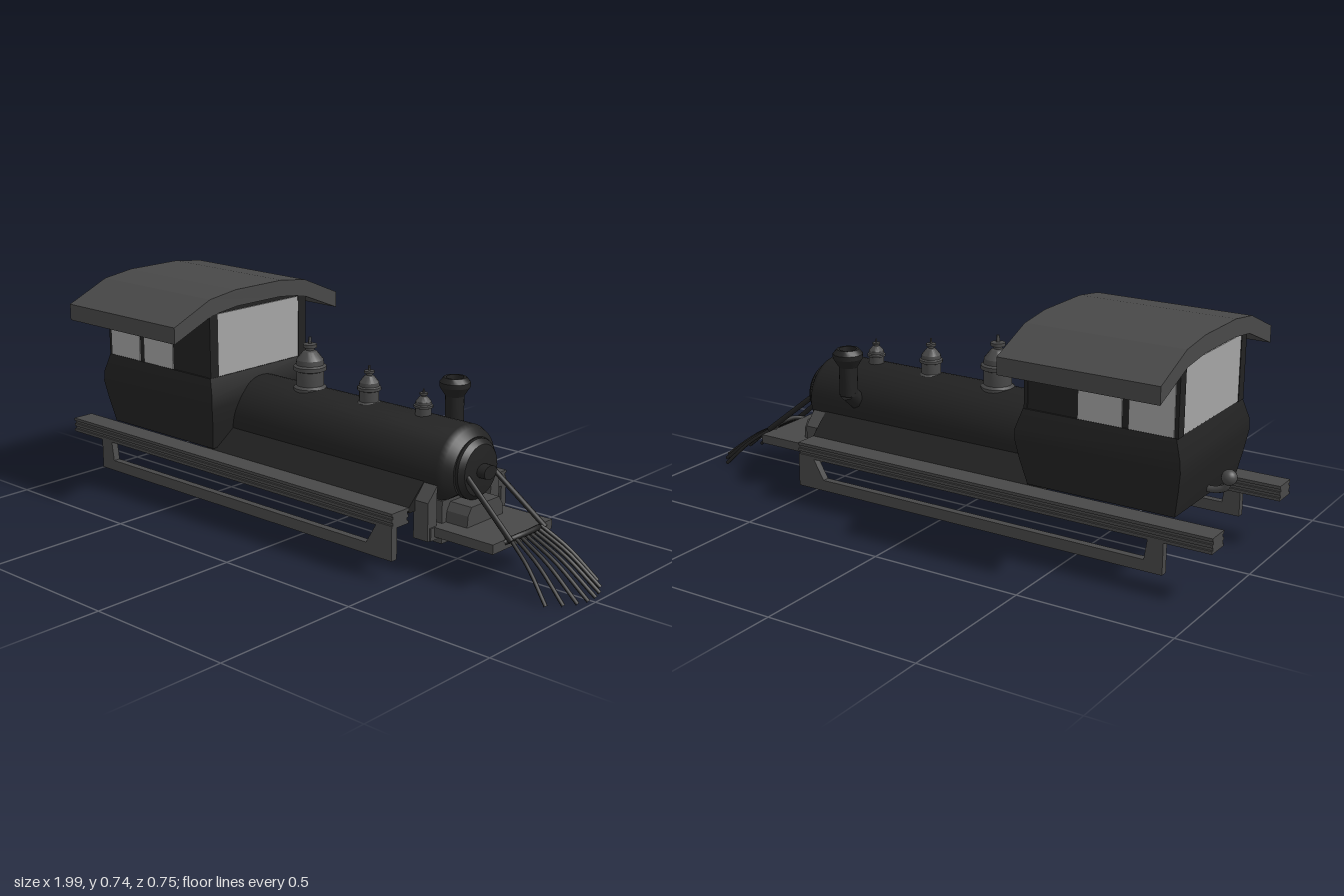
import * as THREE from 'three';
import { toCreasedNormals } from 'three/addons/utils/BufferGeometryUtils.js';

const mat = (name, color) => {
  const m = new THREE.MeshStandardMaterial({ color });
  m.name = name;
  return m;
};
const V = (x, y, z) => new THREE.Vector3(x, y, z);

export function createModel() {
  const black = mat('black iron', 0x222222);
  const grey = mat('grey steel', 0x484848);
  const glass = mat('window glass', 0xa4a4a4);
  const root = new THREE.Group();
  root.name = 'locomotive';

  const add = (name, geo, material, x = 0, y = 0, z = 0) => {
    const m = new THREE.Mesh(geo, material);
    m.name = name;
    m.position.set(x, y, z);
    root.add(m);
    return m;
  };
  // box from its limits
  const box = (name, material, x0, x1, y0, y1, z0, z1) =>
    add(name, new THREE.BoxGeometry(x1 - x0, y1 - y0, z1 - z0), material, (x0 + x1) / 2, (y0 + y1) / 2, (z0 + z1) / 2);
  // (z, y) outline swept along x
  const sweepX = (name, material, pts, x0, x1) => {
    const s = new THREE.Shape(pts.map(([z, y]) => new THREE.Vector2(-z, y)));
    const g = new THREE.ExtrudeGeometry(s, { depth: x1 - x0, bevelEnabled: false });
    return add(name, g.rotateY(Math.PI / 2), material, x0);
  };
  // closed skin through convex rings, capped at both ends
  const loft = (rings, crease) => {
    const n = rings[0].length, idx = [];
    for (let i = 0; i < rings.length - 1; i++)
      for (let j = 0; j < n; j++) {
        const k = (j + 1) % n, a = i * n, b = a + n;
        idx.push(a + j, a + k, b + k, a + j, b + k, b + j);
      }
    const e = (rings.length - 1) * n;
    for (let j = 1; j < n - 1; j++) idx.push(0, j + 1, j, e, e + j, e + j + 1);
    const g = new THREE.BufferGeometry().setFromPoints(rings.flat());
    g.setIndex(idx);
    return toCreasedNormals(g, crease);
  };
  const lathe = (pts, seg = 20) =>
    toCreasedNormals(new THREE.LatheGeometry(pts.map(([r, y]) => new THREE.Vector2(r, y)), seg), 0.5);
  const tube = (name, material, pts, r, seg = 8, sides = 8) =>
    add(name, new THREE.TubeGeometry(new THREE.CatmullRomCurve3(pts), seg, r, sides), material);
  const bar = (name, material, a, b, r) => {
    const d = b.clone().sub(a), mid = a.clone().add(b).multiplyScalar(0.5);
    const m = add(name, new THREE.CylinderGeometry(r, r, d.length(), 8), material, mid.x, mid.y, mid.z);
    m.quaternion.setFromUnitVectors(V(0, 1, 0), d.normalize());
  };

  // boiler with flat underside and tapered nose
  const section = (x, s) => Array.from({ length: 33 }, (_, i) => {
    const t = THREE.MathUtils.degToRad(-130 + (260 * i) / 32);
    return V(x, 0.31 + 0.13 * s * Math.cos(t), 0.136 * s * Math.sin(t));
  });
  add('boiler', loft([section(-0.4, 1), section(0.515, 1), section(0.535, 0.93), section(0.555, 0.75)], 0.5), black);
  sweepX('boilerSkirt', black, [[0.2, 0.2], [0.205, 0.215], [0.125, 0.29], [-0.125, 0.29], [-0.205, 0.215], [-0.2, 0.2]], -0.4, 0.47);

  // smokebox door and hub
  const door = add('smokeboxDoor', lathe([[0, 0], [0.095, 0], [0.095, 0.02], [0.08, 0.035], [0.03, 0.042], [0, 0.042]], 28), black, 0.545, 0.31, 0);
  door.rotation.z = -Math.PI / 2;
  const hub = add('doorHub', new THREE.CylinderGeometry(0.022, 0.022, 0.04, 20), black, 0.595, 0.31, 0);
  hub.rotation.z = -Math.PI / 2;
  hub.scale.z = 1.4;

  // cab: bulged lower body and upright upper walls
  const rect = (y, x0, x1, z) => [V(x0, y, z), V(x1, y, z), V(x1, y, -z), V(x0, y, -z)];
  add('cabBody', loft([
    rect(0.225, -0.85, -0.36, 0.212), rect(0.31, -0.866, -0.34, 0.229), rect(0.37, -0.875, -0.33, 0.24),
    rect(0.405, -0.872, -0.33, 0.239), rect(0.467, -0.852, -0.35, 0.226),
  ], 0.5), black);
  box('cabUpperWalls', black, -0.85, -0.357, 0.46, 0.69, -0.22, 0.22);
  for (const s of [-1, 1]) {
    for (const x of [-0.843, -0.677])
      box('sideWindow', glass, x, x + 0.144, 0.467, 0.655, s * 0.22 - 0.004, s * 0.22 + 0.004);
    for (const x of [-0.85, -0.357])
      box('cornerPost', black, x - 0.006, x + 0.006, 0.465, 0.68, s * 0.205 - 0.018, s * 0.205 + 0.018);
  }
  for (const x of [-0.85, -0.357]) box('endWindow', glass, x - 0.004, x + 0.004, 0.467, 0.675, -0.19, 0.19);

  // arched overhanging roof
  const top = [[0.375, 0.662], [0.22, 0.728], [0.105, 0.743]];
  const under = [[0.1, 0.688], [0.21, 0.675], [0.375, 0.608]];
  const flip = (a) => a.map(([z, y]) => [-z, y]).reverse();
  sweepX('roof', grey, [...top, ...flip(top), ...flip(under), ...under], -0.87, -0.35);

  // domes along the boiler
  for (const [x, r, y, h] of [[-0.12, 0.05, 0.425, 0.18], [0.135, 0.035, 0.425, 0.13], [0.355, 0.028, 0.425, 0.095]])
    add('dome', lathe([
      [0, 0], [r * 1.08, 0], [r * 1.08, h * 0.08], [r * 0.9, h * 0.12], [r * 0.9, h * 0.38], [r * 1.08, h * 0.4],
      [r * 1.08, h * 0.47], [r * 0.92, h * 0.5], [r * 0.88, h * 0.59], [r * 0.45, h * 0.74], [r * 0.28, h * 0.76],
      [r * 0.28, h * 0.8], [r * 0.46, h * 0.81], [r * 0.46, h * 0.87], [r * 0.12, h * 0.88], [r * 0.1, h], [0, h],
    ]), grey, x, y, 0);

  // side chimney with elbow
  bar('chimneyElbow', black, V(0.35, 0.33, -0.105), V(0.35, 0.38, -0.165), 0.03);
  add('chimney', lathe([
    [0, 0], [0.03, 0], [0.03, 0.095], [0.049, 0.125], [0.049, 0.14], [0.036, 0.155], [0.028, 0.155], [0.026, 0.11], [0, 0.11],
  ]), black, 0.35, 0.37, -0.16);

  for (const s of [-1, 1]) {
    // layered running beams
    for (let i = 0; i < 5; i++) {
      const w = i % 2 ? 0.032 : 0.038;
      box('runningBeam', grey, -1, 0.47, 0.17 + i * 0.0096, 0.1796 + i * 0.0096, s * 0.241 - w, s * 0.241 + w);
    }
    // low side frame hung from the beam
    const f = new THREE.Shape([[-0.85, 0.07], [0.47, 0.07], [0.47, 0.18], [-0.85, 0.18]].map((p) => new THREE.Vector2(...p)));
    f.holes.push(new THREE.Path([[-0.79, 0.106], [-0.8, 0.174], [0.41, 0.174], [0.37, 0.106]].map((p) => new THREE.Vector2(...p))));
    const g = new THREE.ExtrudeGeometry(f, { depth: 0.024, bevelEnabled: false });
    add('sideFrame', g, grey, 0, 0, s * 0.267 - 0.012);
    // front frame posts and diagonal braces
    sweepX('frontPost', grey, [[s * 0.132, 0.115], [s * 0.174, 0.115], [s * 0.174, 0.235], [s * 0.132, 0.28]], 0.465, 0.52);
    bar('diagonalBrace', black, V(0.56, 0.315, s * 0.06), V(0.76, 0.152, s * 0.085), 0.009);
  }

  // front frame, pilot deck and saddle
  box('frontCrossBeam', grey, 0.465, 0.525, 0.115, 0.155, -0.165, 0.165);
  box('frontBlock', grey, 0.465, 0.52, 0.09, 0.225, -0.107, 0.107);
  box('pilotDeck', grey, 0.52, 0.74, 0.125, 0.155, -0.147, 0.147);
  sweepX('saddle', grey, [[0.088, 0.155], [0.084, 0.19], [0.068, 0.215], [-0.068, 0.215], [-0.084, 0.19], [-0.088, 0.155]], 0.52, 0.6);

  // pilot rods fanning forward and down
  tube('pilotHeader', black, [V(0.735, 0.145, -0.09), V(0.755, 0.158, -0.05), V(0.76, 0.16, 0), V(0.755, 0.158, 0.05), V(0.735, 0.145, 0.09)], 0.009, 16);
  for (let i = 0; i < 8; i++) {
    const t = (i - 3.5) / 3.5, reach = 0.99 - 0.07 * t * t;
    tube('pilotRod', black, [V(0.75, 0.157, t * 0.077), V(0.75 + (reach - 0.75) * 0.5, 0.097, t * 0.103), V(reach, 0.011, t * 0.132)], 0.0062, 8, 6);
  }

  // rear coupling ball on a bent arm
  tube('couplingArm', grey, [V(-0.84, 0.247, 0), V(-0.88, 0.249, 0), V(-0.91, 0.262, 0), V(-0.92, 0.29, 0)], 0.011, 12);
  add('couplingBall', new THREE.SphereGeometry(0.024, 20, 14), grey, -0.92, 0.295, 0);

  return root;
}
